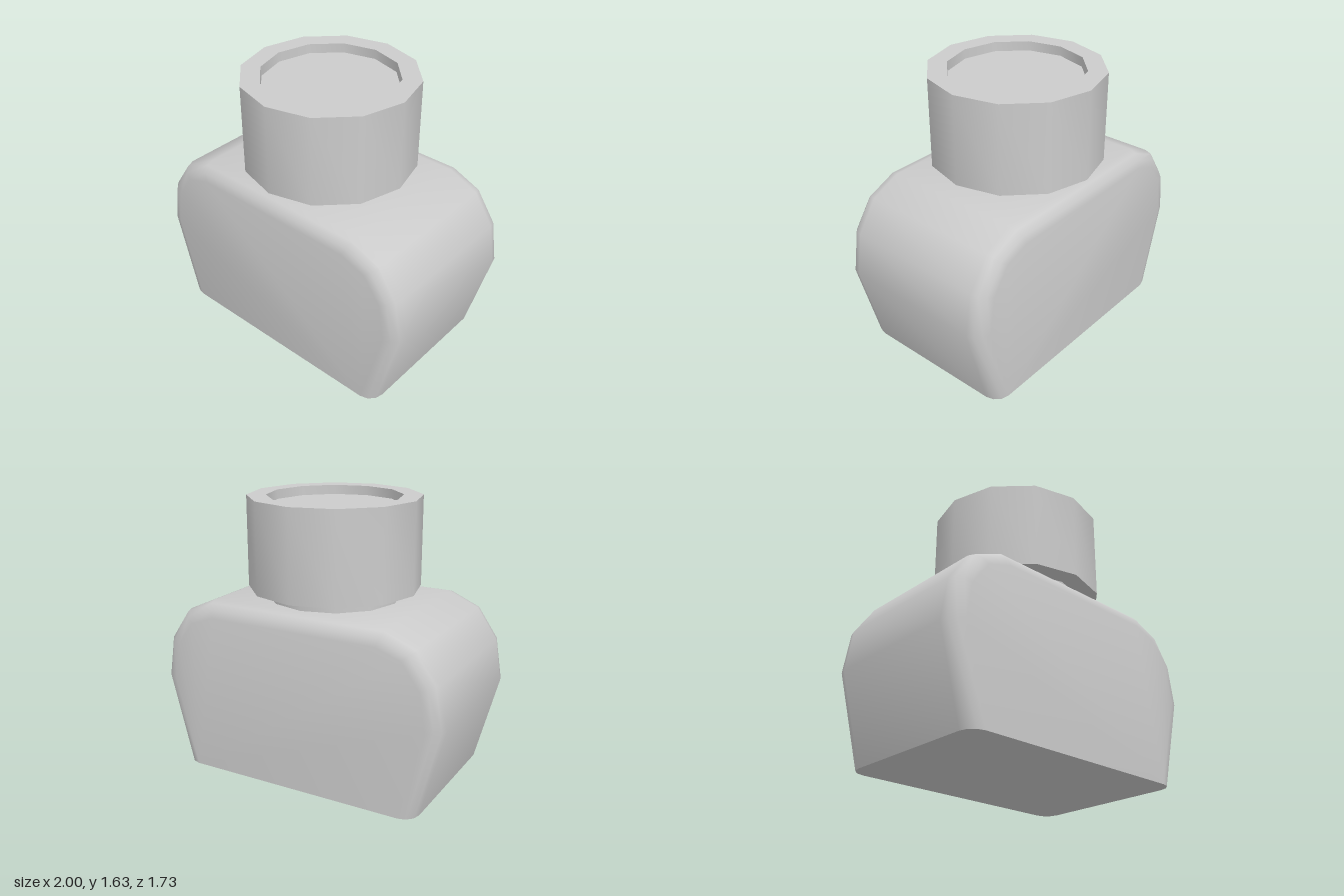
import * as THREE from 'three';
import { toCreasedNormals } from 'three/addons/utils/BufferGeometryUtils.js';

const material = new THREE.MeshStandardMaterial({ color: 0xcccccc });
const HALF_DEPTH = 0.51, BEVEL = 0.09, BEVEL_STEPS = 3, SIDES = 12;

// Half outline of the bottle from base to shoulder: x, y, inset direction x, y
const PROFILE = [
  [0.76, 0, 1, 0],
  [0.9, 0.53, 1, 0],
  [0.86, 0.78, 0.95, 0.3],
  [0.737, 0.96, 0.75, 0.7],
  [0.555, 1.04, 0.4, 1],
];

// Full outline shrunk by an inset, counter-clockwise seen from +z
function outline(inset) {
  const half = PROFILE.map(([x, y, nx, ny]) => [x - nx * inset, y - ny * inset]);
  return [...half, ...half.map(([x, y]) => [-x, y]).reverse()];
}

// Loft of the outline through the depth, with rounded front and back edges
function bodyGeometry() {
  const stations = [];
  for (const side of [-1, 1]) {
    for (let k = 0; k <= BEVEL_STEPS; k++) {
      const step = side < 0 ? BEVEL_STEPS - k : k;
      const a = (step / BEVEL_STEPS) * Math.PI / 2;
      stations.push({
        z: side * (HALF_DEPTH - BEVEL + BEVEL * Math.sin(a)),
        inset: BEVEL * (1 - Math.cos(a)),
      });
    }
  }
  const n = PROFILE.length * 2;
  const positions = [], index = [];
  for (const { z, inset } of stations) {
    for (const [x, y] of outline(inset)) positions.push(x, y, z);
  }
  for (let j = 0; j < stations.length - 1; j++) {
    for (let i = 0; i < n; i++) {
      const a = j * n + i, b = j * n + (i + 1) % n;
      index.push(a, b, b + n, a, b + n, a + n);
    }
  }
  // Flat front and back faces
  const last = (stations.length - 1) * n;
  for (let i = 1; i < n - 1; i++) {
    index.push(0, i + 1, i);
    index.push(last, last + i, last + i + 1);
  }
  const geometry = new THREE.BufferGeometry();
  geometry.setAttribute('position', new THREE.Float32BufferAttribute(positions, 3));
  geometry.setIndex(index);
  return toCreasedNormals(geometry, 0.7);
}

// Twelve-sided turned part with sharp rims
function turned(points) {
  const profile = points.map(([r, y]) => new THREE.Vector2(r, y));
  return toCreasedNormals(new THREE.LatheGeometry(profile, SIDES, -0.02), 0.7);
}

export function createModel() {
  const group = new THREE.Group();
  group.name = 'inkBottle';
  const add = (name, geometry) => {
    const mesh = new THREE.Mesh(geometry, material);
    mesh.name = name;
    group.add(mesh);
    return mesh;
  };

  // Bottle body, turned on its base
  add('body', bodyGeometry()).rotation.y = THREE.MathUtils.degToRad(-31);

  // Neck, running up inside the lid
  add('neck', turned([[0.39, 1.03], [0.39, 1.575], [0, 1.575]]));

  // Lid ring with a shallow recess in its top
  add('lid', turned([[0.393, 1.1], [0.505, 1.1], [0.505, 1.63], [0.393, 1.63], [0.393, 1.1]]));

  return group;
}
